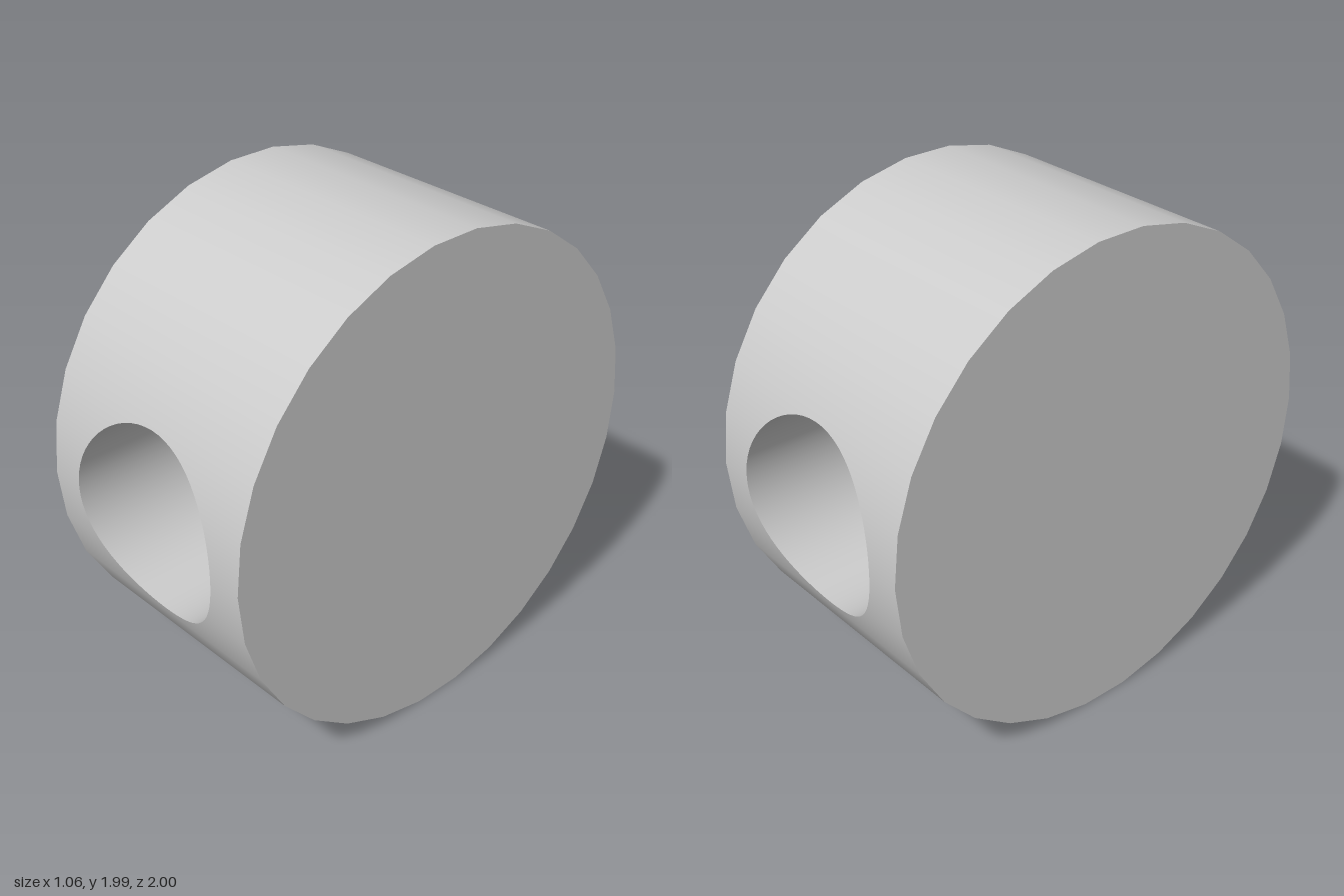
import * as THREE from 'three';

const SIDES = 30, STEP = (Math.PI * 2) / SIDES;
const HALF_WIDTH = 0.53, HOLE = 0.384;
const PATCH = Math.sin(2 * STEP);        // half height of the pierced zone
const CENTRE_Y = Math.cos(STEP / 2);     // drum rests on a flat facet

// Depth of the faceted rim at a given height
function facetDepth(y) {
  const a = Math.floor(Math.asin(Math.abs(y)) / STEP + 1e-6) * STEP;
  const t = (Math.abs(y) - Math.sin(a)) / (Math.sin(a + STEP) - Math.sin(a));
  return THREE.MathUtils.lerp(Math.cos(a), Math.cos(a + STEP), t);
}

// Ruled strip between pairs of points, each row { a, b, na, nb }
function strip(rows) {
  const pos = [], nor = [], index = [];
  rows.forEach(({ a, b, na, nb }, i) => {
    pos.push(...a, ...b);
    nor.push(...na, ...nb);
    const k = i * 2;
    if (i < rows.length - 1) index.push(k, k + 1, k + 3, k, k + 3, k + 2);
  });
  const g = new THREE.BufferGeometry();
  g.setAttribute('position', new THREE.Float32BufferAttribute(pos, 3));
  g.setAttribute('normal', new THREE.Float32BufferAttribute(nor, 3));
  g.setIndex(index);
  return g;
}

// Angles round the hole from bottom to top, with samples on the facet lines
function holeAngles() {
  const bend = Math.asin(Math.sin(STEP) / HOLE);
  const quarter = [];
  for (let i = 0; i < 6; i++) quarter.push((bend * i) / 6);
  for (let i = 0; i <= 10; i++) quarter.push(bend + ((Math.PI / 2 - bend) * i) / 10);
  return [...quarter.slice(1).reverse().map((v) => -v), ...quarter];
}

export function createModel() {
  const model = new THREE.Group();
  model.name = 'piercedDrum';
  const material = new THREE.MeshStandardMaterial({ color: 0xcccccc });
  const add = (name, geometry) => {
    const mesh = new THREE.Mesh(geometry, material);
    mesh.name = name;
    mesh.position.y = CENTRE_Y;
    model.add(mesh);
    return mesh;
  };

  // Flat round end faces
  for (const s of [1, -1]) {
    add(s > 0 ? 'leftEndFace' : 'rightEndFace',
      new THREE.CircleGeometry(1, SIDES).rotateY((s * Math.PI) / 2).translate(s * HALF_WIDTH, 0, 0));
  }

  // Plain upper and lower parts of the rim
  ['upperRim', 'lowerRim'].forEach((name, i) => {
    add(name, new THREE.CylinderGeometry(1, 1, HALF_WIDTH * 2, 11, 1, true,
      2 * STEP + i * Math.PI, 11 * STEP).rotateZ(Math.PI / 2));
  });

  // Rim beside the hole: one quarter, turned into all four places
  const angles = holeAngles();
  const rimRow = (x, y) => {
    const z = Math.sqrt(1 - y * y), zf = facetDepth(y);
    return { a: [x, y, z], b: [HALF_WIDTH, y, zf], na: [0, y, z], nb: [0, y, z] };
  };
  const quarterRim = strip([
    rimRow(0, -PATCH),
    ...angles.map((t) => rimRow(HOLE * Math.cos(t), HOLE * Math.sin(t))),
    rimRow(0, PATCH),
  ]);
  for (const ry of [0, Math.PI]) {
    for (const rz of [0, Math.PI]) {
      add(ry ? 'backRim' : 'frontRim', quarterRim).rotation.set(0, ry, rz);
    }
  }

  // Wall of the cross hole, following the curved rim at both ends
  const round = [...angles, ...angles.slice(1).map((t) => t + Math.PI)];
  add('holeWall', strip(round.map((t) => {
    const x = HOLE * Math.cos(t), y = HOLE * Math.sin(t), z = Math.sqrt(1 - y * y);
    const n = [-Math.cos(t), -Math.sin(t), 0];
    return { a: [x, y, -z], b: [x, y, z], na: n, nb: n };
  })));

  return model;
}
